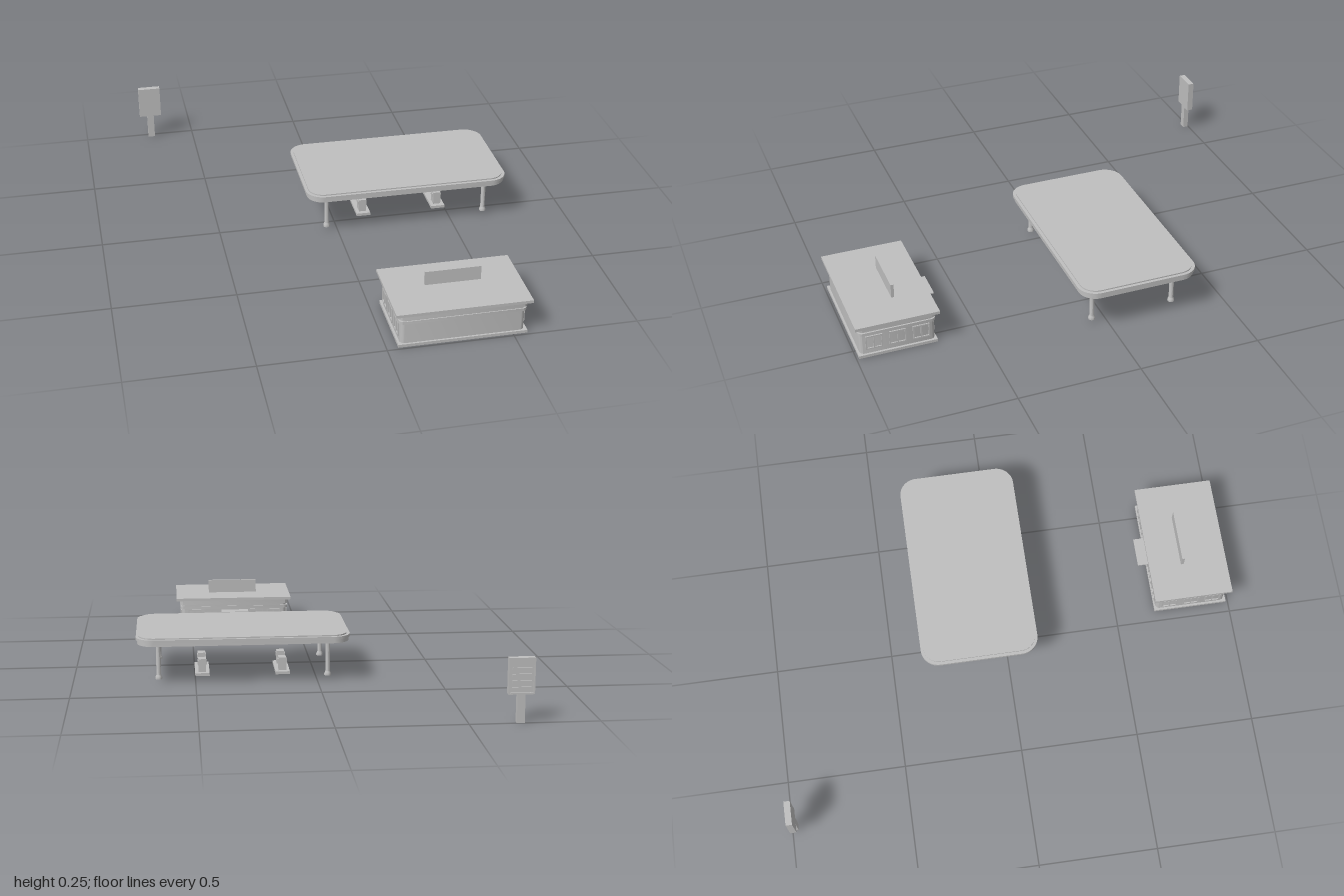
import * as THREE from 'three';
import { toCreasedNormals } from 'three/addons/utils/BufferGeometryUtils.js';

const grey = new THREE.MeshStandardMaterial({ color: 0xbfbfbf });
grey.name = 'plain grey';

function add(parent, name, geometry, x = 0, y = 0, z = 0) {
  const mesh = new THREE.Mesh(geometry, grey);
  mesh.name = name;
  mesh.position.set(x, y, z);
  parent.add(mesh);
  return mesh;
}

// Box given by its limits on each axis
function box(parent, name, x0, x1, y0, y1, z0, z1) {
  return add(parent, name, new THREE.BoxGeometry(x1 - x0, y1 - y0, z1 - z0),
    (x0 + x1) / 2, (y0 + y1) / 2, (z0 + z1) / 2);
}

function roundedRect(w, d, r) {
  const s = new THREE.Shape(), a = w / 2 - r, b = d / 2 - r;
  s.absarc(a, b, r, 0, Math.PI / 2);
  s.absarc(-a, b, r, Math.PI / 2, Math.PI);
  s.absarc(-a, -b, r, Math.PI, Math.PI * 1.5);
  s.absarc(a, -b, r, Math.PI * 1.5, Math.PI * 2);
  s.closePath();
  return s;
}

// Horizontal slab with rounded corners, standing on y = 0
function slab(w, d, r, h) {
  const g = new THREE.ExtrudeGeometry(roundedRect(w, d, r), { depth: h, bevelEnabled: false, curveSegments: 8 });
  return toCreasedNormals(g.rotateX(-Math.PI / 2), 0.5);
}

// Upright rectangular frame with a centre bar, facing along z
function windowFrame(w, h, depth) {
  const s = roundedRect(w, h, 0.001), t = 0.005;
  for (const side of [-1, 1]) {
    const hole = new THREE.Path(), a = side * t / 2, b = side * (w / 2 - t), c = h / 2 - t;
    hole.moveTo(a, -c).lineTo(b, -c).lineTo(b, c).lineTo(a, c).closePath();
    s.holes.push(hole);
  }
  return new THREE.ExtrudeGeometry(s, { depth, bevelEnabled: false, curveSegments: 1 });
}

function makeCanopy() {
  const g = new THREE.Group();
  g.name = 'canopy';
  const cx = 0.3025, cz = -0.12;
  add(g, 'canopyLowerBand', slab(0.864, 0.488, 0.07, 0.018), cx, 0.168, cz);
  add(g, 'canopyRim', slab(0.875, 0.5, 0.075, 0.011), cx, 0.185, cz);
  add(g, 'canopyTop', slab(0.85, 0.475, 0.065, 0.006), cx, 0.195, cz);

  // Pillars with a flared foot
  const profile = [[0, 0.016], [0.014, 0.016], [0.014, 0.024], [0.0095, 0.034], [0.0095, 0.17]]
    .map(([r, y]) => new THREE.Vector2(r, y));
  const pillar = toCreasedNormals(new THREE.LatheGeometry(profile, 16), 0.5);
  for (const x of [-0.045, 0.65]) for (const z of [-0.287, 0.06]) add(g, 'pillar', pillar, x, 0, z);

  // Pump islands
  for (const x of [0.135, 0.47]) {
    box(g, 'pumpIsland', x - 0.03, x + 0.03, 0.003, 0.015, -0.21, -0.016);
    for (const z of [-0.056, -0.169]) {
      box(g, 'pump', x - 0.016, x + 0.016, 0.015, 0.07, z - 0.021, z + 0.021);
      for (const s of [-1, 1]) {
        box(g, 'pumpScreen', x + s * 0.0175 - 0.0015, x + s * 0.0175 + 0.0015, 0.046, 0.062, z - 0.014, z + 0.014);
      }
    }
  }
  return g;
}

function makeShop() {
  const g = new THREE.Group();
  g.name = 'shop';
  const cx = 0.3, cz = 0.83;
  box(g, 'plinth', 0.045, 0.556, 0, 0.012, 0.672, 0.99);
  add(g, 'walls', slab(0.492, 0.304, 0.02, 0.13), cx, 0.012, cz);
  add(g, 'lowerCornice', slab(0.505, 0.312, 0.02, 0.012), cx, 0.099, cz);
  add(g, 'upperCornice', slab(0.508, 0.318, 0.02, 0.02), cx, 0.12, cz);
  box(g, 'roof', 0.033, 0.57, 0.14, 0.152, 0.662, 1);
  box(g, 'roofSign', 0.19, 0.415, 0.152, 0.211, 0.801, 0.813);
  box(g, 'awning', 0.235, 0.36, 0.088, 0.093, 0.624, 0.68);

  // Door and shop windows
  add(g, 'door', windowFrame(0.09, 0.072, 0.006), cx, 0.05, 0.673);
  const pane = windowFrame(0.062, 0.066, 0.006);
  for (const s of [-1, 1]) for (const d of [0.105, 0.185]) add(g, 'shopWindow', pane, cx + s * d, 0.062, 0.673);

  // Side windows
  const sidePane = windowFrame(0.068, 0.06, 0.006);
  for (const s of [-1, 1]) for (const z of [0.735, 0.83, 0.925]) {
    add(g, 'sideWindow', sidePane, cx + s * 0.245, 0.062, z).rotation.y = s * Math.PI / 2;
  }
  return g;
}

function makePriceSign() {
  const g = new THREE.Group();
  g.name = 'priceSign';
  box(g, 'signPost', -0.71, -0.68, 0, 0.112, -0.998, -0.975);
  box(g, 'signBoard', -0.745, -0.645, 0.11, 0.25, -0.993, -0.974);
  box(g, 'signHeader', -0.745, -0.645, 0.222, 0.25, -1, -0.993);
  for (const x of [-0.745, -0.65]) box(g, 'signEdge', x, x + 0.005, 0.11, 0.222, -1, -0.993);
  box(g, 'signFoot', -0.745, -0.645, 0.11, 0.116, -1, -0.993);
  for (let i = 0; i < 4; i++) {
    const y = 0.127 + i * 0.025;
    box(g, 'priceRow', -0.732, -0.658, y, y + 0.011, -0.999, -0.993);
  }
  return g;
}

export function createModel() {
  const model = new THREE.Group();
  model.name = 'fillingStation';
  model.add(makeCanopy(), makeShop(), makePriceSign());
  return model;
}
